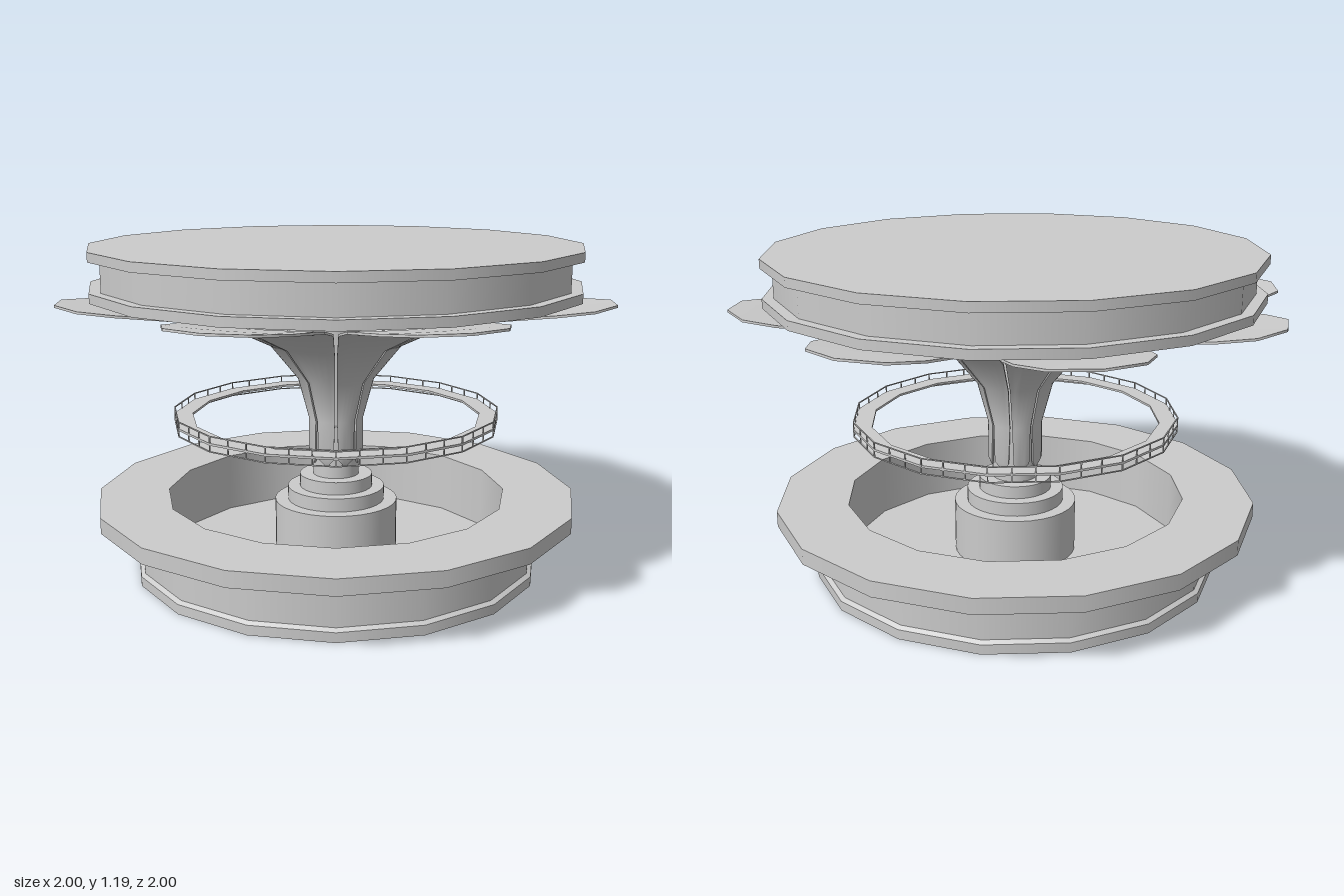
import * as THREE from 'three';
import { mergeGeometries, toCreasedNormals } from 'three/addons/utils/BufferGeometryUtils.js';

const material = new THREE.MeshStandardMaterial({ color: 0xcccccc, side: THREE.DoubleSide });

function addMesh(parent, name, geometry) {
  const mesh = new THREE.Mesh(geometry, material);
  mesh.name = name;
  parent.add(mesh);
  return mesh;
}

// Revolved profile of [radius, y] points: smooth around, hard edges between bands
function turned(profile, sides) {
  const bands = [];
  for (let i = 0; i < profile.length - 1; i++) {
    const pair = [profile[i], profile[i + 1]].map(([r, y]) => new THREE.Vector2(r, y));
    bands.push(new THREE.LatheGeometry(pair, sides));
  }
  return mergeGeometries(bands);
}

// Thin curved petal: closed cross-sections swept along [radius, y, half angle] stations
function petalGeometry() {
  const stations = [
    [0.09, 0.385, 0.08], [0.1, 0.41, 0.3], [0.1, 0.55, 0.35], [0.14, 0.7, 0.37],
    [0.245, 0.83, 0.375], [0.45, 0.93, 0.375], [0.7, 0.98, 0.345],
    [0.877, 1.002, 0.25], [0.965, 1.011, 0.155], [1, 1.014, 0],
  ];
  const columns = 6, thickness = 0.008, loop = 2 * (columns + 1);
  const positions = [], indices = [];
  stations.forEach(([r, y, half], i) => {
    const before = stations[Math.max(i - 1, 0)];
    const after = stations[Math.min(i + 1, stations.length - 1)];
    const dr = after[0] - before[0], dy = after[1] - before[1], len = Math.hypot(dr, dy);
    for (let k = 0; k < loop; k++) {
      const inner = k > columns;
      const c = inner ? loop - 1 - k : k;
      const a = half * (2 * c / columns - 1);
      const rr = r - (inner ? thickness * dy / len : 0);
      const yy = y + (inner ? thickness * dr / len : 0);
      positions.push(rr * Math.sin(a), yy, rr * Math.cos(a));
    }
  });
  for (let i = 0; i < stations.length - 1; i++) {
    for (let k = 0; k < loop; k++) {
      const a = i * loop + k, b = i * loop + (k + 1) % loop;
      indices.push(a, b, b + loop, a, b + loop, a + loop);
    }
  }
  // Close the lower end
  for (let k = 1; k < loop - 1; k++) indices.push(0, k + 1, k);
  const geometry = new THREE.BufferGeometry();
  geometry.setAttribute('position', new THREE.Float32BufferAttribute(positions, 3));
  geometry.setIndex(indices);
  return toCreasedNormals(geometry, 0.7);
}

export function createModel() {
  const model = new THREE.Group();
  model.name = 'flowerPavilion';

  // Hollow base with overhanging rim and recessed floor
  addMesh(model, 'base', turned([
    [0.225, 0.04], [0.68, 0.04], [0.742, 0], [0.75, 0], [0.75, 0.035], [0.735, 0.045],
    [0.735, 0.195], [0.82, 0.198], [0.885, 0.215], [0.885, 0.272], [0.627, 0.272],
    [0.627, 0.045], [0.225, 0.045],
  ], 16));

  // Central plinth, open below, with stepped collars and column
  addMesh(model, 'plinth', turned([[0.228, 0.04], [0.228, 0.24], [0, 0.24]], 32));
  addMesh(model, 'column', turned([
    [0.18, 0.24], [0.18, 0.29], [0.135, 0.29], [0.135, 0.337],
    [0.085, 0.337], [0.085, 1.03],
  ], 32));

  // Eight petals flaring out under the roof
  const petals = new THREE.Group();
  petals.name = 'petals';
  const petal = petalGeometry();
  for (let i = 0; i < 8; i++) {
    addMesh(petals, 'petal', petal).rotation.y = i * Math.PI / 4;
  }
  model.add(petals);

  // Flanged roof drum
  addMesh(model, 'roof', turned([
    [0, 1.02], [0.885, 1.02], [0.885, 1.053], [0.845, 1.053], [0.845, 1.157],
    [0.885, 1.157], [0.885, 1.19], [0, 1.19],
  ], 16));

  // Ring walkway with thin rails and posts
  const walkway = new THREE.Group();
  walkway.name = 'walkway';
  const ring = (r0, r1, y0, y1) =>
    turned([[r0, y0], [r1, y0], [r1, y1], [r0, y1], [r0, y0]], 16);
  addMesh(walkway, 'walkwayDeck', ring(0.53, 0.598, 0.557, 0.565));
  for (const y of [0.533, 0.586]) {
    addMesh(walkway, 'rail', ring(0.594, 0.598, y, y + 0.004));
  }
  const post = new THREE.BoxGeometry(0.004, 0.057, 0.004);
  for (let i = 0; i < 48; i++) {
    const a = i * Math.PI / 24;
    // Posts follow the straight sides of the sixteen-sided rails
    const offset = ((i % 3) - (i % 3 ? 1.5 : 0)) * Math.PI / 24;
    const r = i % 3 ? 0.596 * Math.cos(Math.PI / 16) / Math.cos(offset) : 0.596;
    const mesh = addMesh(walkway, 'railPost', post);
    mesh.position.set(r * Math.sin(a), 0.5615, r * Math.cos(a));
    mesh.rotation.y = a;
  }
  model.add(walkway);

  return model;
}
